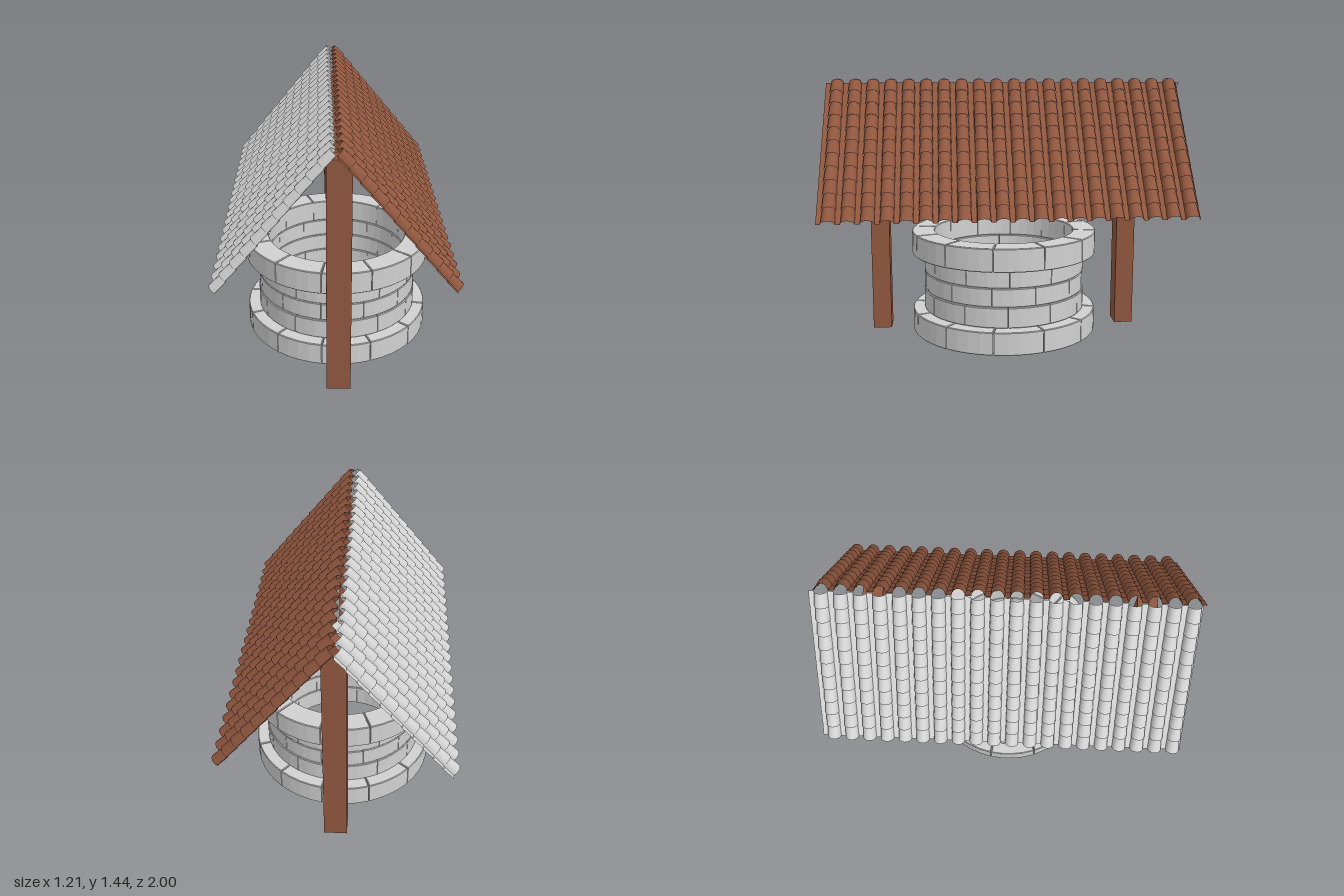
import * as THREE from 'three';
import { toCreasedNormals } from 'three/addons/utils/BufferGeometryUtils.js';

const stone = new THREE.MeshStandardMaterial({ color: 0xd0d0d0 });
stone.name = 'pale stone';
const paleTile = new THREE.MeshStandardMaterial({ color: 0xd2d2d2, side: THREE.DoubleSide });
paleTile.name = 'pale tile';
const clayTile = new THREE.MeshStandardMaterial({ color: 0x91573f, side: THREE.DoubleSide });
clayTile.name = 'clay tile';
const wood = new THREE.MeshStandardMaterial({ color: 0x91573f });
wood.name = 'brown wood';

const rad = THREE.MathUtils.degToRad;

// One wedge-shaped block of a stone ring, lying flat with its base at y = 0
function blockGeometry(inner, outer, height, span) {
  const bevel = 0.004;
  const a = span / 2 - 0.012;
  const shape = new THREE.Shape();
  shape.absarc(0, 0, outer - bevel, -a, a, false);
  shape.absarc(0, 0, inner + bevel, a, -a, true);
  shape.closePath();
  const g = new THREE.ExtrudeGeometry(shape, {
    depth: height - 2 * bevel, curveSegments: 2,
    bevelEnabled: true, bevelSize: bevel, bevelThickness: bevel, bevelSegments: 1,
  });
  g.translate(0, 0, bevel);
  g.rotateX(-Math.PI / 2);
  return g;
}

// A course of blocks; offset is the angle of the first joint, measured from the front
function stoneRing(name, y0, y1, outer, offset, count = 12) {
  const ring = new THREE.Group();
  ring.name = name;
  const span = (2 * Math.PI) / count;
  const geo = blockGeometry(0.4, outer, y1 - y0 - 0.002, span);
  for (let i = 0; i < count; i++) {
    const block = new THREE.Mesh(geo, stone);
    block.name = 'stoneBlock';
    block.rotation.y = rad(offset) + (i + 0.5) * span - Math.PI / 2;
    ring.add(block);
  }
  ring.position.y = y0;
  return ring;
}

// Rows of arched tiles on one slope: s runs down the slope, h out of it, z along the ridge
const ROWS = 11, COLUMNS = 20, ARC = 8;
const PITCH = 0.0987, LENGTH = 0.897;

// Cross-section [z, h] across all columns, each an arch with flat valleys beside it
function tileProfile(radius, lift) {
  const points = [[1.0, lift]];
  for (let c = 0; c < COLUMNS; c++) {
    const centre = 0.938 - c * PITCH;
    for (let k = 0; k <= ARC; k++) {
      const t = (k / ARC) * Math.PI;
      points.push([centre + 0.95 * radius * Math.cos(t), lift + radius * Math.sin(t)]);
    }
  }
  points.push([-0.98, lift]);
  return points;
}

function tileRowGeometry(row) {
  const step = LENGTH / ROWS;
  const s0 = Math.max(0, row * step - 0.006), s1 = (row + 1) * step;
  const d = new THREE.Vector2(0.57, -0.695).normalize();
  const pos = [], index = [];
  const upper = tileProfile(0.035, 0), lower = tileProfile(0.039, 0.005);
  for (const [profile, s] of [[upper, s0], [lower, s1]]) {
    for (const [z, h] of profile) {
      pos.push(0.002 + d.x * s - d.y * h, 1.425 + d.y * s + d.x * h, z);
    }
  }
  const n = upper.length;
  for (let i = 0; i < n - 1; i++) {
    index.push(i, n + i, i + 1, i + 1, n + i, n + i + 1);
  }
  const g = new THREE.BufferGeometry();
  g.setAttribute('position', new THREE.Float32BufferAttribute(pos, 3));
  g.setIndex(index);
  return toCreasedNormals(g, rad(40));
}

function roofSlope(name, material) {
  const slope = new THREE.Group();
  slope.name = name;
  for (let r = 0; r < ROWS; r++) {
    const row = new THREE.Mesh(tileRowGeometry(r), material);
    row.name = 'tileRow';
    slope.add(row);
  }
  return slope;
}

export function createModel() {
  const model = new THREE.Group();
  model.name = 'wishingWell';

  // Round stone wall: wide base, three staggered courses, wide rim
  const wall = new THREE.Group();
  wall.name = 'stoneWall';
  wall.add(
    stoneRing('baseRing', 0.005, 0.135, 0.53, -40),
    stoneRing('lowerCourse', 0.135, 0.25, 0.464, -31),
    stoneRing('middleCourse', 0.25, 0.355, 0.46, -42),
    stoneRing('upperCourse', 0.355, 0.46, 0.461, -30),
    stoneRing('rimRing', 0.46, 0.59, 0.53, -40),
  );
  wall.position.set(0.02, 0, 0.01);
  model.add(wall);

  // Roof posts in front of and behind the wall
  for (const [name, z] of [['frontPost', 0.718], ['backPost', -0.695]]) {
    const post = new THREE.Mesh(new THREE.BoxGeometry(0.127, 1.305, 0.104), wood);
    post.name = name;
    post.position.set(0.017, 0.6725, z);
    model.add(post);
  }

  // Two tiled slopes, the second turned half round
  const left = roofSlope('leftRoofSlope', clayTile);
  const right = roofSlope('rightRoofSlope', paleTile);
  right.rotation.y = Math.PI;
  model.add(left, right);

  return model;
}
